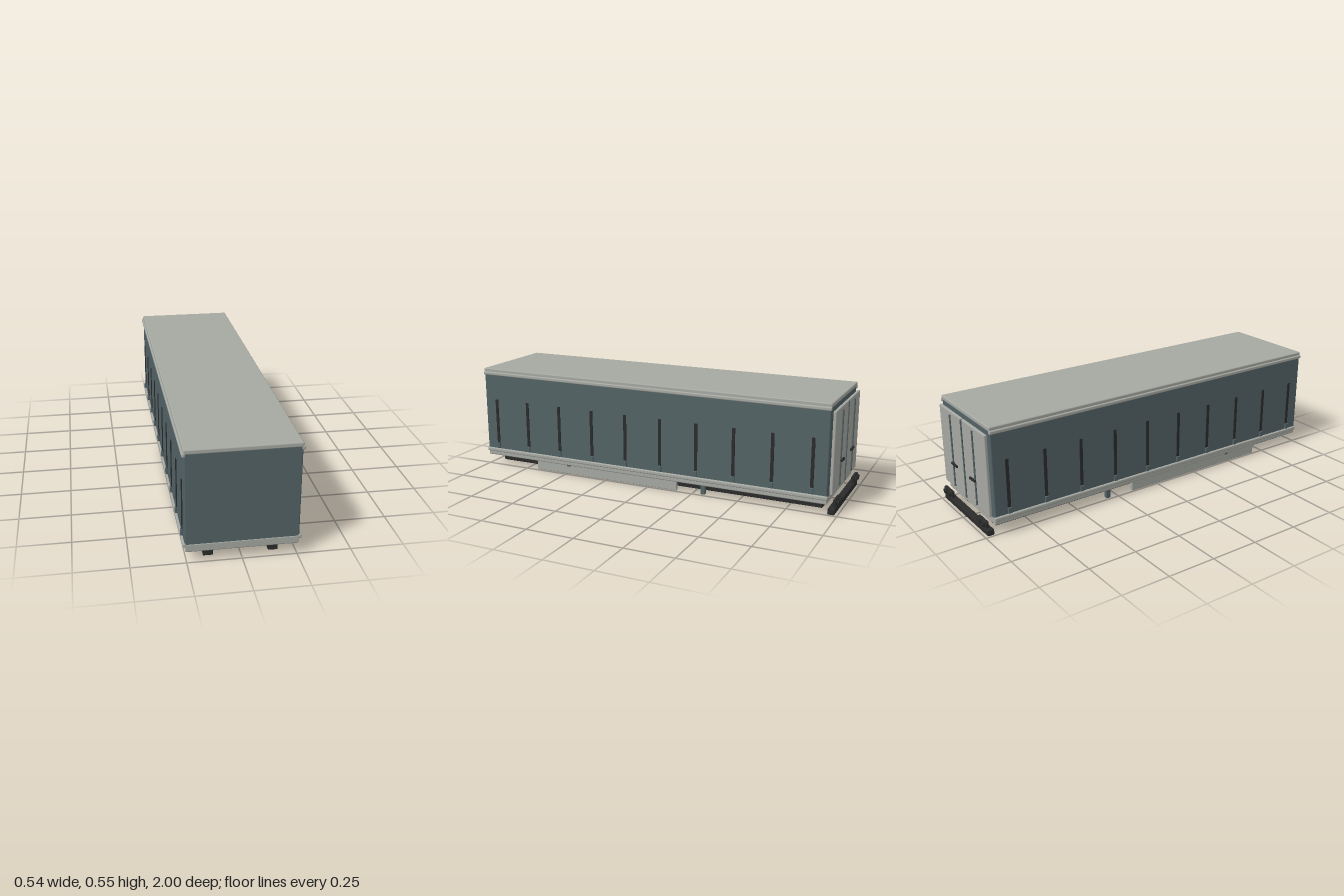
import * as THREE from 'three';
import { RoundedBoxGeometry } from 'three/addons/geometries/RoundedBoxGeometry.js';

const material = (name, color) => {
  const m = new THREE.MeshStandardMaterial({ color });
  m.name = name;
  return m;
};

export function createModel() {
  const group = new THREE.Group();
  const pale = material('pale grey', 0xa6a8a2);
  const slate = material('slate blue', 0x536366);
  const dark = material('charcoal', 0x2b2b2b);

  const place = (name, geometry, mat, x, y, z) => {
    const mesh = new THREE.Mesh(geometry, mat);
    mesh.name = name;
    mesh.position.set(x, y, z);
    group.add(mesh);
    return mesh;
  };
  // Box given by its limits on each axis; r rounds the edges
  const box = (name, mat, [x0, x1], [y0, y1], [z0, z1], r = 0) => {
    const size = [x1 - x0, y1 - y0, z1 - z0];
    const geometry = r ? new RoundedBoxGeometry(...size, 2, r) : new THREE.BoxGeometry(...size);
    return place(name, geometry, mat, (x0 + x1) / 2, (y0 + y1) / 2, (z0 + z1) / 2);
  };
  // The same box on both sides, a and b measured outward from the middle
  const pair = (name, mat, [a, b], y, z, r = 0) => {
    box(name + 'Left', mat, [a, b], y, z, r);
    box(name + 'Right', mat, [-b, -a], y, z, r);
  };

  // Cargo body, roof and floor
  box('cargoBody', slate, [-0.258, 0.258], [0.085, 0.535], [-0.95, 0.998], 0.006);
  box('roof', pale, [-0.26, 0.26], [0.528, 0.551], [-0.955, 1], 0.006);
  box('floor', pale, [-0.256, 0.256], [0.053, 0.093], [-0.95, 1], 0.006);
  pair('topRail', pale, [0.25, 0.268], [0.515, 0.534], [-0.955, 1], 0.006);
  pair('bottomRail', pale, [0.25, 0.268], [0.077, 0.097], [-0.955, 1], 0.006);

  // Tie-down straps and their buckles along both sides
  for (let i = 0; i < 10; i++) {
    const z = 0.925 - i * 0.2;
    pair('strap', dark, [0.256, 0.262], [0.1, 0.378], [z - 0.008, z + 0.008]);
    pair('buckle', slate, [0.258, 0.269], [0.1, 0.131], [z - 0.01, z + 0.01], 0.003);
  }

  // Chassis beams, side skirts and support legs
  pair('chassisBeam', dark, [0.126, 0.171], [0.002, 0.055], [-0.91, 0.957], 0.003);
  pair('sideSkirt', pale, [0.231, 0.251], [0.004, 0.057], [-0.165, 0.68], 0.004);
  pair('supportLeg', slate, [0.228, 0.248], [0.005, 0.056], [-0.322, -0.298], 0.003);
  pair('skirtClip', slate, [0.235, 0.256], [0.048, 0.06], [0.465, 0.487], 0.003);

  // Rear doors with locking bars and handles
  pair('door', pale, [0.004, 0.246], [0.1, 0.512], [-0.973, -0.957], 0.005);
  box('doorSeal', slate, [-0.005, 0.005], [0.102, 0.508], [-0.976, -0.96]);
  for (const s of [-1, 1]) {
    place('lockingBar', new THREE.CylinderGeometry(0.005, 0.005, 0.38, 10), slate, s * 0.122, 0.305, -0.975);
    const handle = place('doorHandle', new RoundedBoxGeometry(0.06, 0.012, 0.012, 2, 0.004), dark, s * 0.1, 0.24, -0.98);
    handle.rotation.z = s * 0.05;
  }

  // Rear bumper bar and lamp clusters
  box('rearBumper', dark, [-0.244, 0.244], [0, 0.032], [-0.987, -0.951], 0.007);
  pair('lampHousing', dark, [0.145, 0.236], [0.039, 0.075], [-0.99, -0.973], 0.006);
  for (const s of [-1, 1]) {
    for (const x of [0.17, 0.211]) {
      const lamp = place('rearLamp', new THREE.CylinderGeometry(0.013, 0.015, 0.011, 16), dark, s * x, 0.057, -0.9945);
      lamp.rotation.x = -Math.PI / 2;
    }
  }

  return group;
}
